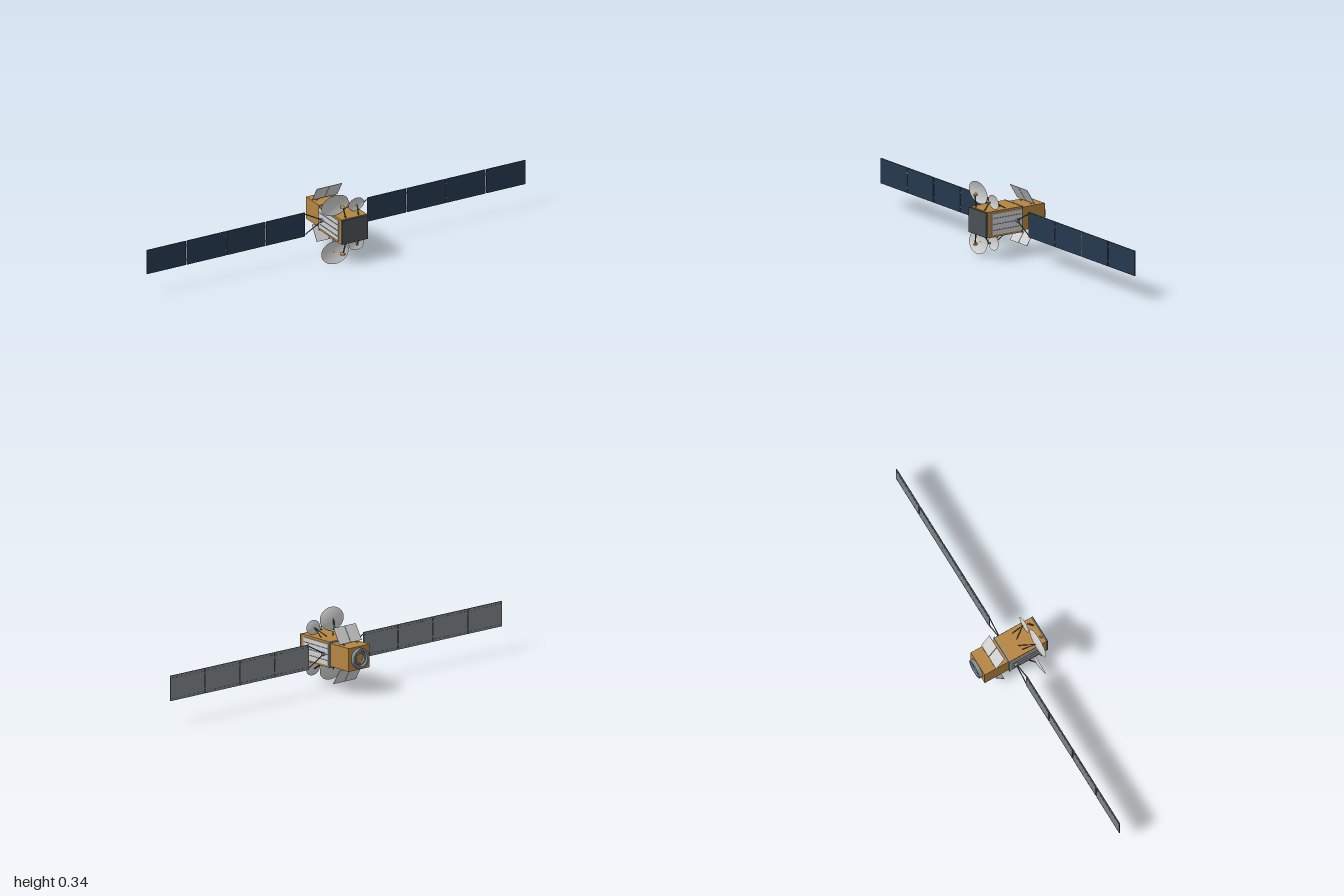
import * as THREE from 'three';

const CY = 0.1755; // height of the central axis

export function createModel() {
  const root = new THREE.Group();
  const mat = (name, color, side = THREE.FrontSide) => {
    const m = new THREE.MeshStandardMaterial({ color, side });
    m.name = name;
    return m;
  };
  const gold = mat('goldFoil', 0xb5853f);
  const white = mat('lightGrey', 0xd0d0d0, THREE.DoubleSide);
  const cells = mat('solarCellBlue', 0x25384f);
  const back = mat('panelBackGrey', 0x7c8387);
  const dark = mat('darkGrey', 0x4a5054);
  const metal = mat('metalGrey', 0x87909a);

  const add = (name, geo, material, parent = root) => {
    const m = new THREE.Mesh(geo, material);
    m.name = name;
    parent.add(m);
    return m;
  };
  const box = (name, w, h, d, x, y, z, material, parent) => {
    const m = add(name, new THREE.BoxGeometry(w, h, d), material, parent);
    m.position.set(x, y, z);
    return m;
  };
  // round bar between two points
  const beam = (name, a, b, r, material, parent, r2 = r, sides = 10) => {
    const p = new THREE.Vector3(...a), q = new THREE.Vector3(...b);
    const m = add(name, new THREE.CylinderGeometry(r2, r, p.distanceTo(q), sides), material, parent);
    m.position.copy(p).add(q).multiplyScalar(0.5);
    m.quaternion.setFromUnitVectors(new THREE.Vector3(0, 1, 0), q.sub(p).normalize());
    return m;
  };

  // body
  box('mainBody', 0.136, 0.122, 0.195, 0, CY, 0.0675, gold);
  box('rearBody', 0.126, 0.109, 0.128, 0, CY, -0.093, gold);
  box('collar', 0.142, 0.124, 0.007, 0, CY, -0.0275, metal);
  box('frontPlate', 0.138, 0.117, 0.01, 0, CY, 0.17, dark);

  // rear docking ring and engine ring
  const ring = (name, ro, ri, z0, z1, material) => {
    const pts = [[ri, z0], [ro, z0], [ro, z1], [ri, z1], [ri, z0]];
    // doubled corners keep the edges sharp
    const sharp = [];
    for (let i = 0; i < 4; i++) sharp.push(pts[i], pts[i], pts[i + 1]);
    const g = new THREE.LatheGeometry(sharp.map(p => new THREE.Vector2(...p)), 40);
    g.rotateX(-Math.PI / 2);
    const m = add(name, g, material);
    m.position.set(0, CY, 0);
  };
  ring('rearRing', 0.047, 0.037, 0.156, 0.174, metal);
  ring('engineRing', 0.031, 0.024, 0.156, 0.168, metal);

  // side radiators with heat pipes, solar wings
  for (const s of [1, -1]) {
    box('radiator', 0.005, 0.1, 0.17, s * 0.0695, CY, 0.06, white);
    for (const dy of [-0.028, 0, 0.028])
      box('heatPipe', 0.003, 0.003, 0.162, s * 0.073, CY + dy, 0.061, metal);

    const wing = new THREE.Group();
    wing.name = s > 0 ? 'leftWing' : 'rightWing';
    root.add(wing);
    const z = 0.0035;
    beam('wingDrive', [s * 0.068, CY, z], [s * 0.082, CY, z], 0.009, metal, wing, 0.009, 20);
    for (const t of [1, -1])
      beam('yokeArm', [s * 0.078, CY + t * 0.004, z], [s * 0.162, CY + t * 0.05, z], 0.0025, dark, wing);

    const pitch = 0.21, w = 0.206;
    for (let i = 0; i < 4; i++) {
      const x = s * (0.162 + w / 2 + i * pitch + 0.002);
      box('panelFrame', w, 0.119, 0.004, x, CY, z, dark, wing);
      box('solarCells', w - 0.002, 0.116, 0.001, x, CY, z + 0.0024, cells, wing);
      box('panelBack', w - 0.002, 0.116, 0.001, x, CY, z - 0.0024, back, wing);
      for (const t of [1, -1]) {
        for (let k = 0; k < 8; k++) // broken cable line on the back
          box('cableClip', 0.013, 0.002, 0.001, x + (k - 3.5) * 0.025, CY + t * 0.048, z - 0.0031, dark, wing);
        if (i) box('hinge', 0.006, 0.008, 0.004, x - s * pitch / 2, CY + t * 0.035, z, metal, wing);
      }
    }
  }

  // dishes, feeds and rear flaps, mirrored above and below
  const dishProfile = [];
  for (let i = 0; i <= 10; i++) dishProfile.push(new THREE.Vector2(i / 10, (i / 10) ** 2));
  const antennas = [
    { x: -0.073, dy: 0.1185, rx: 0.072, ry: 0.054, depth: 0.011, z: 0.1065, tilt: 0.13,
      feet: [[-0.02, 0.047], [-0.045, 0.052]], mast: [-0.038, 0.155], feed: [-0.05, 0.116, 0.152], size: 1 },
    { x: 0.042, dy: 0.097, rx: 0.041, ry: 0.034, depth: 0.006, z: 0.108, tilt: 0.1,
      feet: [[0.01, 0.055], [0.045, 0.052]], mast: [0.03, 0.155], feed: [0.036, 0.096, 0.134], size: 0.6 },
  ];
  for (const s of [1, -1]) {
    for (const a of antennas) {
      const g = new THREE.Group();
      g.name = 'antenna';
      root.add(g);
      const geo = new THREE.LatheGeometry(dishProfile, 40);
      geo.rotateX(Math.PI / 2);
      geo.scale(a.rx, a.ry, a.depth);
      const dish = add('dish', geo, white, g);
      dish.position.set(a.x, CY + s * a.dy, a.z);
      dish.rotation.x = s * a.tilt;

      for (const [fx, fz] of a.feet)
        beam('dishStrut', [fx, CY + s * 0.06, fz], [a.x, CY + s * a.dy, a.z - 0.001], 0.002, dark, g);

      const [hx, hy, hz] = a.feed;
      beam('feedMast', [a.mast[0], CY + s * 0.06, a.mast[1]], [hx, CY + s * hy, hz], 0.003, dark, g);
      // horn widens toward the dish
      const c = new THREE.Vector3(hx, CY + s * hy, hz);
      const d = new THREE.Vector3(a.x, CY + s * a.dy, a.z).sub(c).normalize().multiplyScalar(0.0105 * a.size);
      beam('feedHorn', c.clone().sub(d).toArray(), c.clone().add(d).toArray(),
        0.005 * a.size, gold, g, 0.0085 * a.size, 16);
    }

    // tilted flap made of two leaves
    const flap = new THREE.Group();
    flap.name = 'rearFlap';
    flap.position.set(0, CY + s * 0.0615, -0.098);
    flap.rotation.x = s * 0.55;
    root.add(flap);
    for (const t of [1, -1])
      box('flapLeaf', 0.066, 0.082, 0.002, t * 0.034, s * 0.041, 0, white, flap);
    for (const t of [1, -1])
      box('flapHinge', 0.01, 0.01, 0.003, t * 0.04, CY + s * 0.058, -0.098, metal);
  }
  return root;
}
